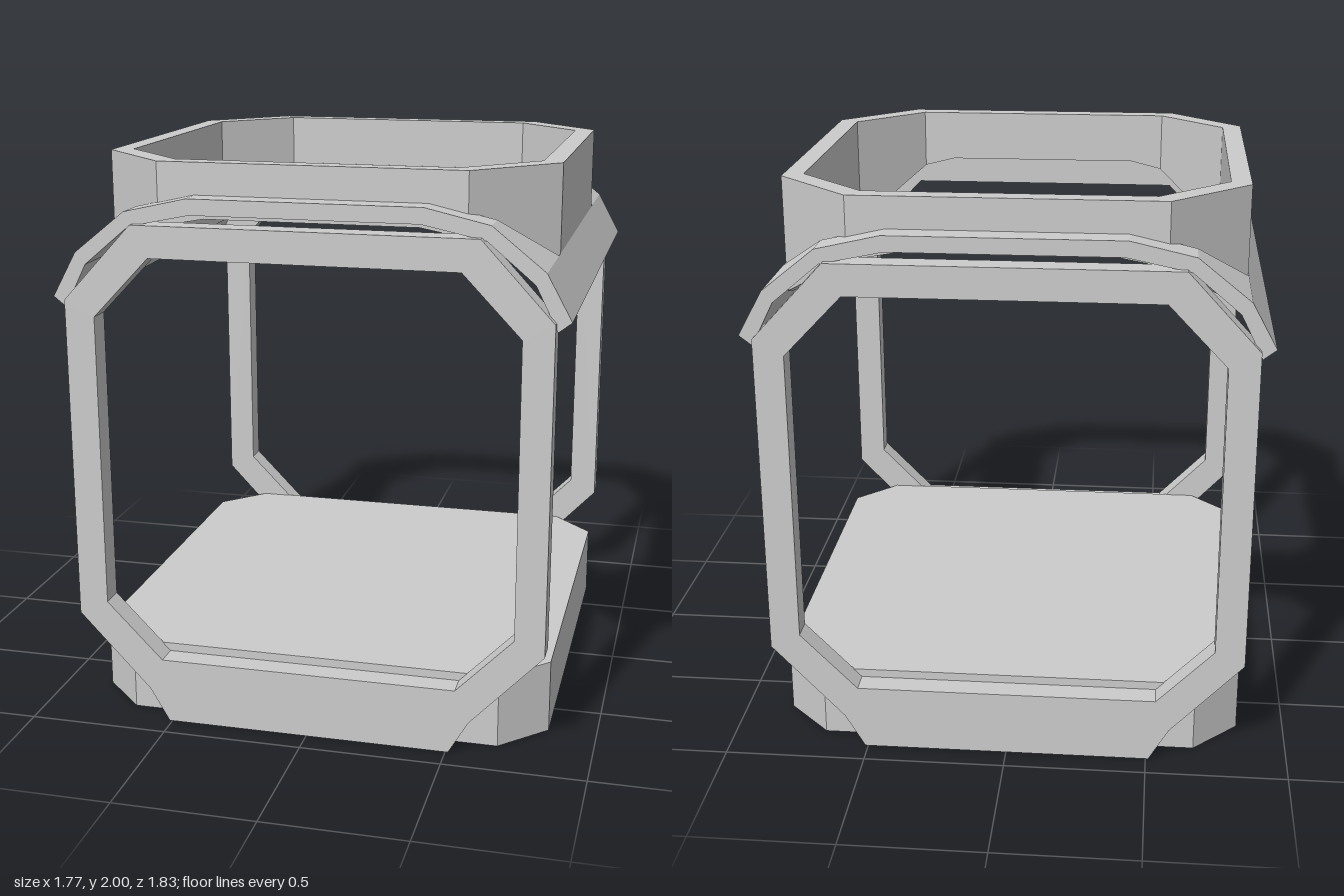
import * as THREE from 'three';
import { mergeGeometries } from 'three/addons/utils/BufferGeometryUtils.js';
import { ConvexGeometry } from 'three/addons/geometries/ConvexGeometry.js';

const grey = new THREE.MeshStandardMaterial({ color: 0xcccccc });
grey.name = 'grey';
const v = (x, y, z) => new THREE.Vector3(x, y, z);

function add(group, name, geometry) {
  const mesh = new THREE.Mesh(geometry, grey);
  mesh.name = name;
  group.add(mesh);
  return mesh;
}

// Closed outline, symmetric in x, from the points of its right half (bottom to top)
function symmetric(half, Type) {
  const left = half.map(([x, y]) => [-x, y]).reverse();
  return new Type([...half, ...left].map(([x, y]) => new THREE.Vector2(x, y)));
}

// Octagonal window frame with an octagonal opening
function frameGeometry() {
  const shape = symmetric([[0.51, 0], [0.58, 0.12], [0.835, 0.39], [0.835, 1.535], [0.59, 1.8]], THREE.Shape);
  shape.holes.push(symmetric([[0.53, 0.235], [0.73, 0.44], [0.73, 1.48], [0.53, 1.69]], THREE.Path));
  return new THREE.ExtrudeGeometry(shape, { depth: 0.087, bevelEnabled: false });
}

// Square slab with cut corners
function baseGeometry() {
  const shape = symmetric([[0.67, -0.83], [0.83, -0.67], [0.83, 0.67], [0.67, 0.83]], THREE.Shape);
  return new THREE.ExtrudeGeometry(shape, { depth: 0.265, bevelEnabled: false }).rotateX(-Math.PI / 2);
}

// Arched roof sheet with an octagonal opening, made of bent plates
function roofGeometry() {
  const half = 0.887;
  // outer x, outer y, inner x, inner y, half depth of the opening
  const stations = [
    [0.885, 1.54, 0.84, 1.505, 0],
    [0.8, 1.695, 0.765, 1.655, 0.57],
    [0.62, 1.84, 0.605, 1.79, 0.77],
    [0.4, 1.89, 0.39, 1.835, 0.77],
  ];
  const plate = (a, b, za, zb) => new ConvexGeometry([[a, za], [b, zb]].flatMap(([s, z]) => [
    v(s[0], s[1], z), v(s[2], s[3], z), v(s[0], s[1], half), v(s[2], s[3], half),
  ]));
  const parts = [];
  const mirror = ([x, y, ix, iy, z]) => [-x, y, -ix, iy, z];
  const all = [...stations, ...stations.map(mirror).reverse()];
  for (let i = 0; i < all.length - 1; i++) {
    const a = all[i], b = all[i + 1];
    const eave = i === 0 || i === all.length - 2;
    const piece = eave ? plate(a, b, -half, -half) : plate(a, b, a[4], b[4]);
    parts.push(piece);
    if (!eave) parts.push(piece.clone().rotateY(Math.PI));
  }
  return mergeGeometries(parts);
}

// Upright octagonal collar whose lower edge follows the arch of the roof
function collarGeometry() {
  // outer x, outer z, inner x, inner z, bottom y
  const quarter = [
    [0.8, 0.53, 0.73, 0.49, 1.59],
    [0.53, 0.8, 0.49, 0.73, 1.78],
    [0.37, 0.8, 0.37, 0.73, 1.81],
  ];
  const flip = (list, sx, sz) => list.map(([x, z, ix, iz, y]) => [x * sx, z * sz, ix * sx, iz * sz, y]);
  const front = [...quarter, ...flip(quarter, -1, 1).reverse()];
  const loop = [...front, ...flip(front, -1, -1)];
  return mergeGeometries(loop.map((a, i) => {
    const b = loop[(i + 1) % loop.length];
    return new ConvexGeometry([a, b].flatMap(([x, z, ix, iz, y]) => [
      v(x, y, z), v(x, 2, z), v(ix, y, iz), v(ix, 2, iz),
    ]));
  }));
}

export function createModel() {
  const model = new THREE.Group();
  model.name = 'openCabin';
  add(model, 'base', baseGeometry());
  add(model, 'frontFrame', frameGeometry()).position.z = 0.826;
  add(model, 'backFrame', frameGeometry()).position.z = -0.913;
  add(model, 'roof', roofGeometry());
  add(model, 'roofCollar', collarGeometry());
  return model;
}
